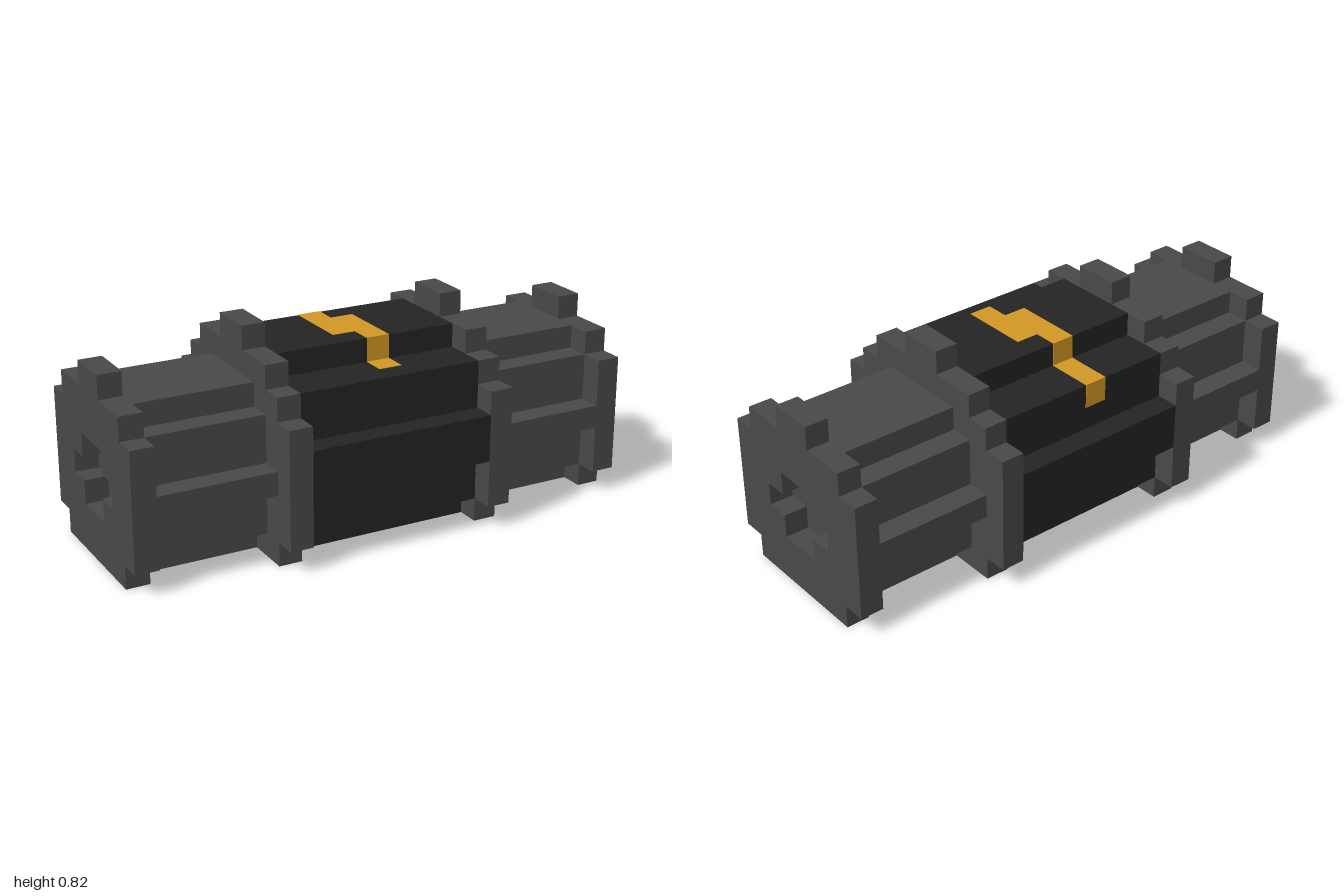
import * as THREE from 'three';

const U = 1 / 11; // one block

const grey = new THREE.MeshStandardMaterial({ color: 0x494949 });
grey.name = 'grey casing';
const black = new THREE.MeshStandardMaterial({ color: 0x242424 });
black.name = 'black core';
const amber = new THREE.MeshStandardMaterial({ color: 0xd29824 });
amber.name = 'amber paint';

// Stepped outline, mirrored in z, from rows of [top of row, half width]
function steppedShape(rows, base = 0) {
  const side = [];
  let y = base;
  for (const [top, half] of rows) {
    side.push([half, y], [half, top]);
    y = top;
  }
  const outline = [...side, ...side.slice().reverse().map(([w, h]) => [-w, h])];
  return outline.map(([w, h]) => new THREE.Vector2(w * U, h * U));
}

// Section of the body running along x between two block positions
function section(name, rows, x0, x1, material, hole) {
  const shape = new THREE.Shape(steppedShape(rows));
  if (hole) shape.holes.push(new THREE.Path(steppedShape(hole, 2)));
  const geometry = new THREE.ExtrudeGeometry(shape, { depth: (x1 - x0) * U, bevelEnabled: false });
  geometry.rotateY(Math.PI / 2);
  const mesh = new THREE.Mesh(geometry, material);
  mesh.name = name;
  mesh.position.x = x0 * U;
  return mesh;
}

// Thin painted plate covering a block range
function plate(name, x, y, z) {
  const t = 0.04;
  const span = ([a, b]) => (b - a + t) * U;
  const mid = ([a, b]) => ((a + b) / 2) * U;
  const mesh = new THREE.Mesh(new THREE.BoxGeometry((x[1] - x[0]) * U, span(y), span(z)), amber);
  mesh.name = name;
  mesh.position.set(mid(x), mid(y), mid(z));
  return mesh;
}

export function createModel() {
  const model = new THREE.Group();
  model.name = 'canister';

  const coreRows = [[1, 3], [3, 4], [5, 5], [7, 4], [8, 2]];
  const collarRows = [[1, 4], [6, 5], [7, 4], [8, 3], [9, 1]];
  const armRows = [[1, 2], [3, 3], [4, 4], [6, 3], [7, 2]];
  const capRows = [[1, 3], [6, 4], [7, 3], [8, 1]];
  const socketRows = [[3, 1], [4, 2], [5, 1]];

  model.add(section('core', coreRows, -4, 4, black));

  // Collar, ribbed arm and socketed cap on each end
  for (const [side, s] of [['left', 1], ['right', -1]]) {
    const add = (part, rows, a, b, hole) =>
      model.add(section(side + part, rows, Math.min(a * s, b * s), Math.max(a * s, b * s), grey, hole));
    add('Collar', collarRows, 4, 5);
    add('Arm', armRows, 5, 10);
    add('Cap', capRows, 10, 11, socketRows);
  }

  // Zigzag stripe folded over the core's steps
  const stripe = new THREE.Group();
  stripe.name = 'zigzagStripe';
  const a = [-1, 0], b = [0, 1];
  stripe.add(
    plate('stripeTopBack', a, [8, 8], [-2, 1]),
    plate('stripeTopFront', b, [8, 8], [-1, 2]),
    plate('stripeFrontRiser', b, [7, 8], [2, 2]),
    plate('stripeFrontLedge', b, [7, 7], [2, 3]),
    plate('stripeBackRiser', a, [7, 8], [-2, -2]),
    plate('stripeBackLedge', a, [7, 7], [-4, -2]),
    plate('stripeBackDrop', a, [6, 7], [-4, -4]),
  );
  model.add(stripe);
  return model;
}
